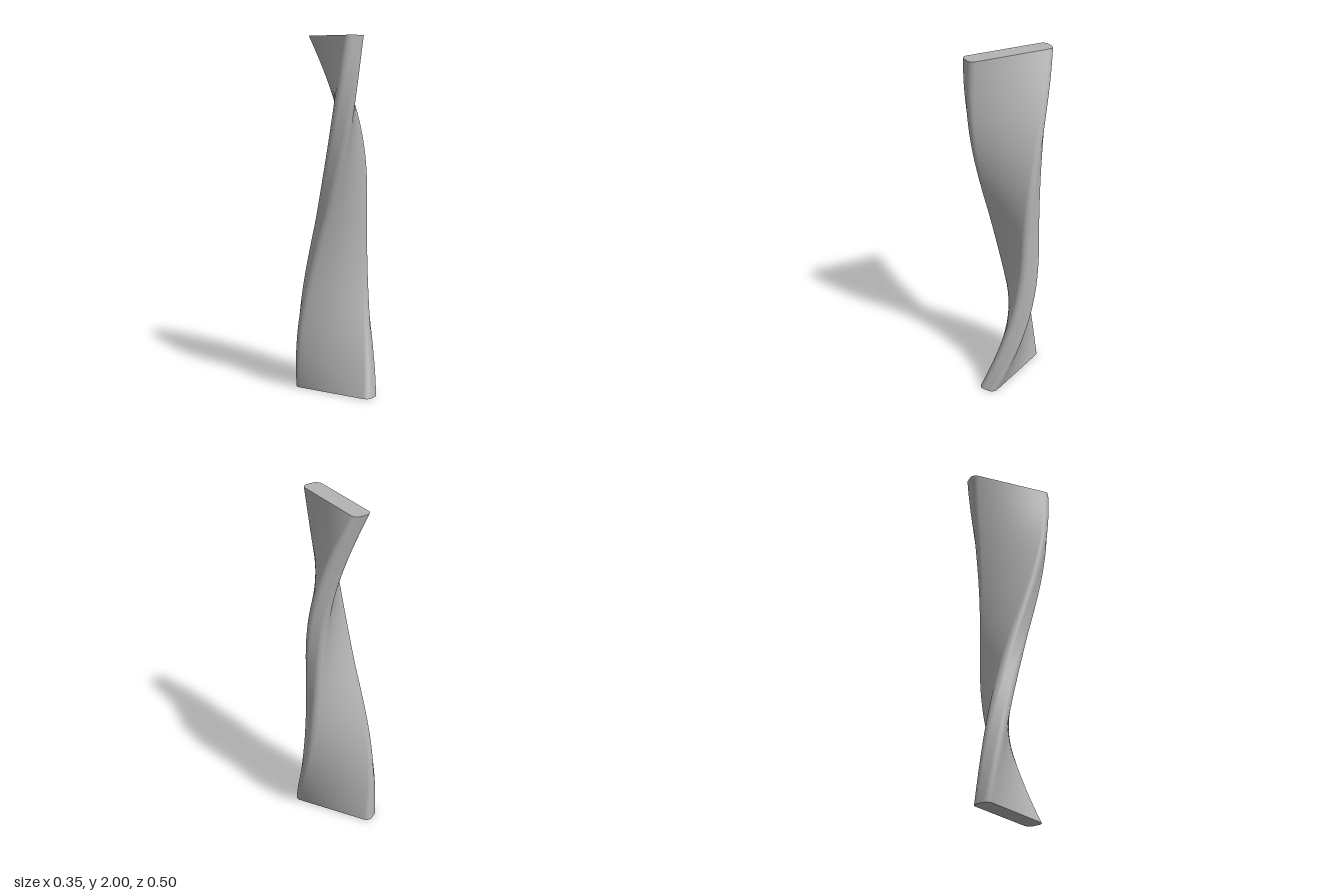
import * as THREE from 'three';

const ROWS = 96, ARC = 8, SIDE = 14, CORNER = 0.035;

// Rounded-bar outline: u, v place the corner centre, a is the corner angle
function outline() {
  const pts = [];
  const corners = [[1, 1], [-1, 1], [-1, -1], [1, -1]];
  corners.forEach(([u, v], k) => {
    for (let i = 0; i <= ARC; i++) pts.push({ u, v, a: (k + i / ARC) * Math.PI / 2 });
    // extra points along the two long flats
    if (k % 2 === 0) {
      for (let i = 1; i < SIDE; i++) pts.push({ u: u * (1 - 2 * i / SIDE), v, a: (k + 1) * Math.PI / 2 });
    }
  });
  return pts;
}

// Cross-section at distance t below the top: the bar turns, narrows at the waist and drifts
function section(pts, t) {
  const d = Math.abs(1 - t);
  const phi = THREE.MathUtils.degToRad(15 + 75 * t);
  const length = 0.16 + 0.09 * Math.pow(d, 1.5);
  const thick = 0.058 - 0.004 * d * d;
  const cx = 0.01 - 0.046 * d * d;
  const cz = 0.045 * Math.sin(Math.PI * t);
  const sin = Math.sin(phi), cos = Math.cos(phi);
  return pts.map(({ u, v, a }) => {
    const s = u * (length - CORNER) + CORNER * Math.cos(a);
    const w = v * (thick - CORNER) + CORNER * Math.sin(a);
    return [cx + s * sin + w * cos, 2 - t, cz - s * cos + w * sin];
  });
}

function build(positions, index) {
  const g = new THREE.BufferGeometry();
  g.setAttribute('position', new THREE.Float32BufferAttribute(positions.flat(), 3));
  g.setIndex(index);
  g.computeVertexNormals();
  return g;
}

// Smooth twisted side wall
function wall(pts) {
  const n = pts.length, pos = [], index = [];
  for (let j = 0; j <= ROWS; j++) pos.push(...section(pts, 2 * j / ROWS));
  for (let j = 0; j < ROWS; j++) {
    for (let i = 0; i < n; i++) {
      const a = j * n + i, b = j * n + (i + 1) % n;
      index.push(a, b, a + n, b, b + n, a + n);
    }
  }
  return build(pos, index);
}

// Flat end face
function cap(pts, t, up) {
  const ring = section(pts, t), n = ring.length, index = [];
  const centre = [0, 2 - t, 0];
  ring.forEach(p => { centre[0] += p[0] / n; centre[2] += p[2] / n; });
  for (let i = 0; i < n; i++) {
    const k = (i + 1) % n;
    if (up) index.push(n, k, i);
    else index.push(n, i, k);
  }
  return build([...ring, centre], index);
}

export function createModel() {
  const grey = new THREE.MeshStandardMaterial({ color: 0xb4b4b4 });
  grey.name = 'plain grey';
  const group = new THREE.Group();
  group.name = 'twistedBar';
  const pts = outline();
  const add = (name, geometry) => {
    const mesh = new THREE.Mesh(geometry, grey);
    mesh.name = name;
    group.add(mesh);
  };
  add('twistedSide', wall(pts));
  add('topFace', cap(pts, 0, true));
  add('bottomFace', cap(pts, 2, false));
  return group;
}
